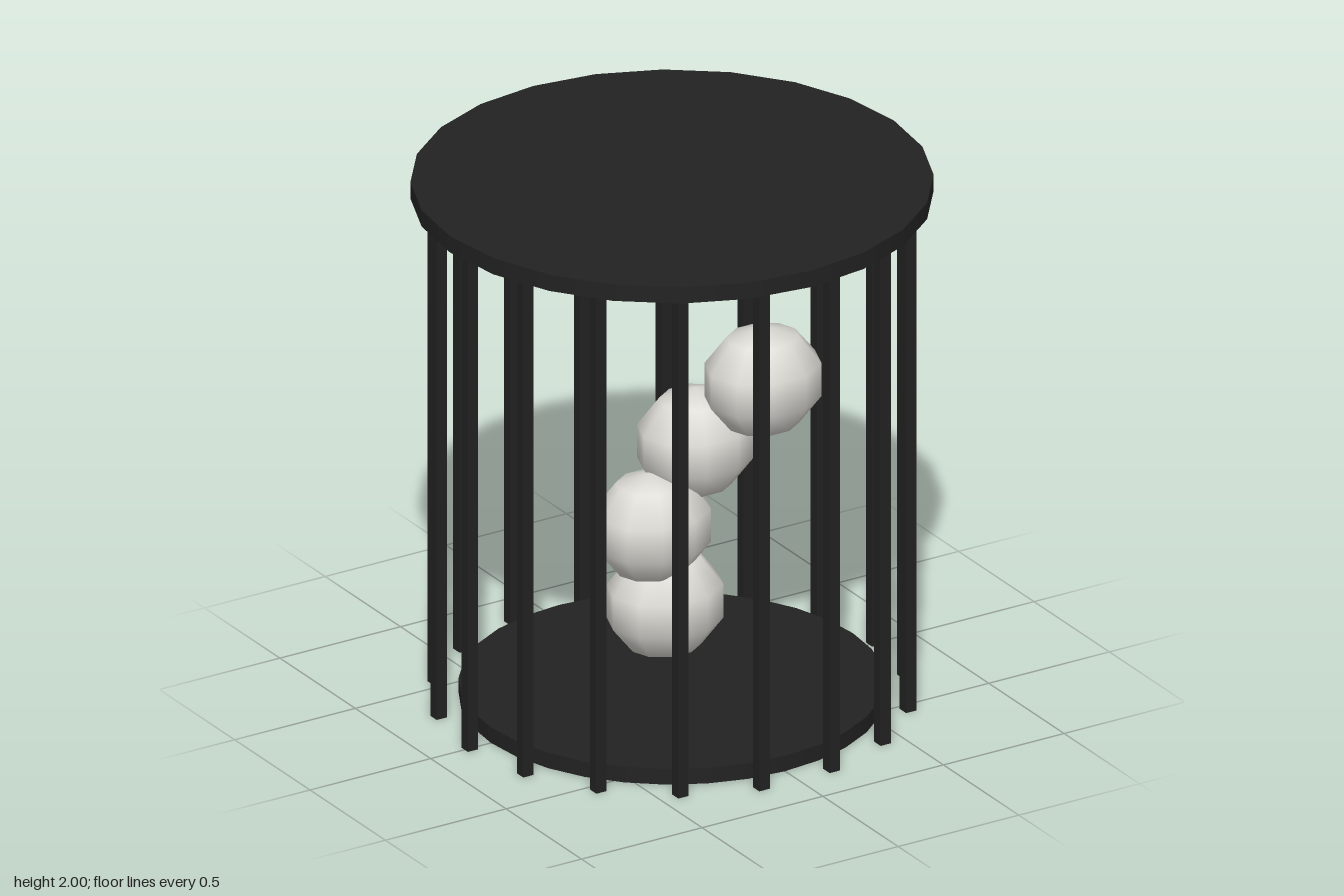
import * as THREE from 'three';

export function createModel() {
  const model = new THREE.Group();
  const black = new THREE.MeshStandardMaterial({ color: 0x222222 });
  black.name = 'black metal';
  const white = new THREE.MeshStandardMaterial({ color: 0xdad8d2 });
  white.name = 'off white';

  const add = (name, geometry, material, x, y, z) => {
    const mesh = new THREE.Mesh(geometry, material);
    mesh.name = name;
    mesh.position.set(x, y, z);
    model.add(mesh);
    return mesh;
  };

  // Roof and floor discs
  add('roof', new THREE.CylinderGeometry(0.92, 0.92, 0.063, 24), black, 0, 1.9685, 0);
  add('floor', new THREE.CylinderGeometry(0.75, 0.75, 0.06, 32), black, 0, 0.03, 0);

  // Ring of square bars, all aligned with the axes
  const barCount = 18, barRadius = 0.838, barHeight = 1.95;
  const barGeometry = new THREE.BoxGeometry(0.043, barHeight, 0.043);
  for (let i = 0; i < barCount; i++) {
    const a = (i / barCount) * Math.PI * 2;
    add('bar' + (i + 1), barGeometry, black,
      Math.cos(a) * barRadius, barHeight / 2, Math.sin(a) * barRadius);
  }

  // Leaning stack of coarse, slightly stretched balls
  const ballGeometry = new THREE.SphereGeometry(1, 10, 5);
  ballGeometry.scale(0.226, 0.205, 0.197);
  const centres = [
    [0, 0.35, -0.046],
    [-0.053, 0.655, -0.046],
    [0.143, 0.925, -0.072],
    [0.28, 1.215, 0.155],
  ];
  centres.forEach(([x, y, z], i) => add('ball' + (i + 1), ballGeometry, white, x, y, z));

  return model;
}
